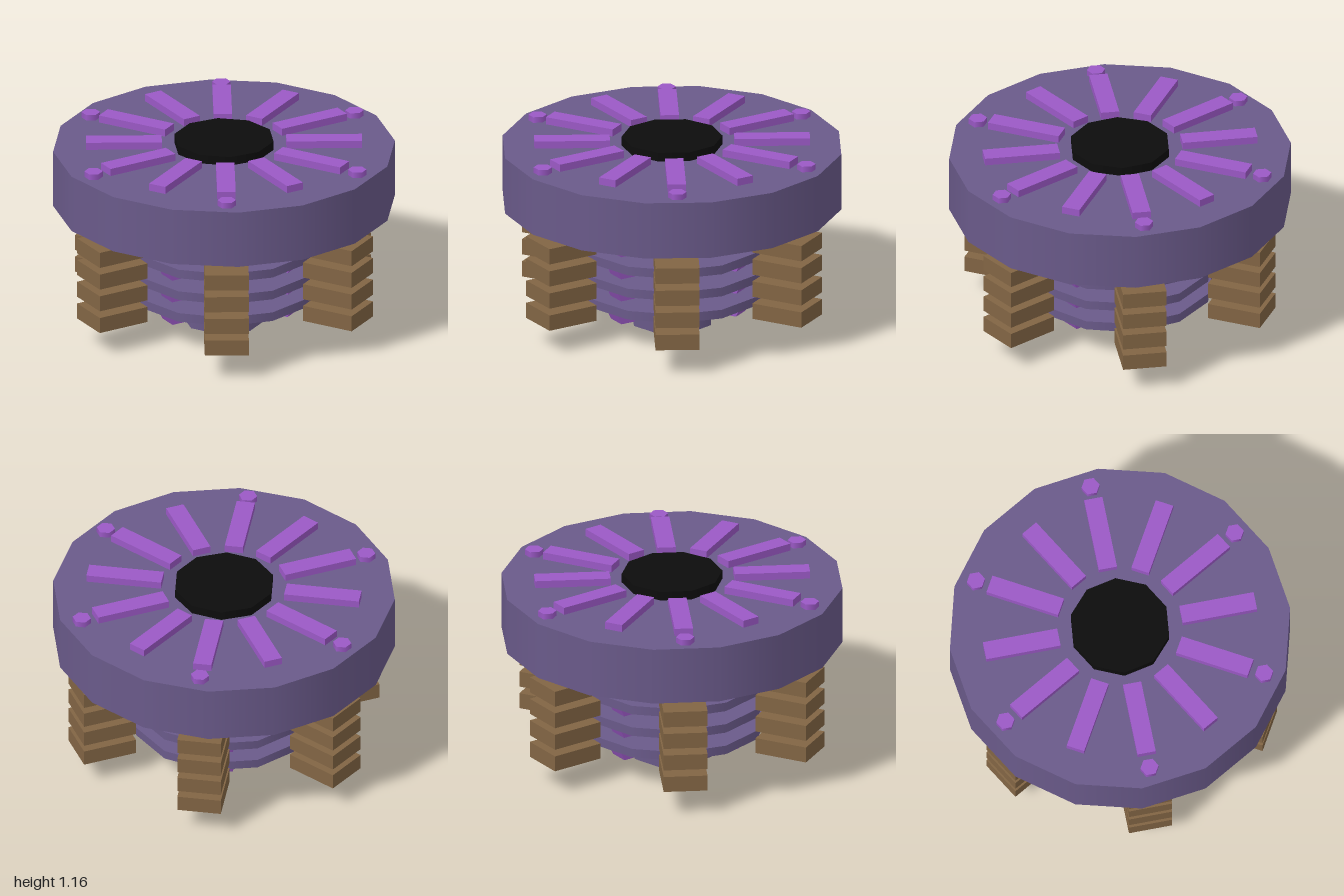
import * as THREE from 'three';

export function createModel() {
  const model = new THREE.Group();
  const material = (name, color) => {
    const m = new THREE.MeshStandardMaterial({ color });
    m.name = name;
    return m;
  };
  const slate = material('slate purple', 0x6a5a8a);
  const violet = material('bright violet', 0x9b59c6);
  const brown = material('brown', 0x826544);
  const black = material('black', 0x0d0d0d);

  const add = (parent, name, geometry, mat, x = 0, y = 0, z = 0) => {
    const mesh = new THREE.Mesh(geometry, mat);
    mesh.name = name;
    mesh.position.set(x, y, z);
    parent.add(mesh);
    return mesh;
  };
  // Upright prism between two heights
  const prism = (r, y0, y1, sides, turn = 0) =>
    new THREE.CylinderGeometry(r, r, y1 - y0, sides).rotateY(turn).translate(0, (y0 + y1) / 2, 0);
  // Ring of copies around the vertical axis
  const ring = (name, count, geometry, mat, x, y, z = 0) => {
    const group = new THREE.Group();
    group.name = name + 'Ring';
    for (let i = 0; i < count; i++) {
      const arm = new THREE.Group();
      arm.rotation.y = (i * 2 * Math.PI) / count;
      add(arm, name, geometry, mat, x, y, z);
      group.add(arm);
    }
    model.add(group);
  };

  // Upper drum, its black hub and the details on its lid
  add(model, 'drum', prism(1.0196, 0.76, 1.11, 16, Math.PI / 16), slate);
  add(model, 'hub', prism(0.3, 1.08, 1.165, 10), black);
  ring('spoke', 12, new THREE.BoxGeometry(0.45, 0.045, 0.11), violet, 0.595, 1.138);
  ring('bolt', 6, prism(0.055, 1.1, 1.145, 6), violet, 0.905, 0);

  // Bottom stub
  add(model, 'stub', prism(0.249, 0, 0.305, 8, Math.PI / 8), slate);

  // Wedge under each disc, tapering radially downwards
  const profile = new THREE.Shape([
    new THREE.Vector2(0.34, 0), new THREE.Vector2(0.43, 0),
    new THREE.Vector2(0.475, 0.1), new THREE.Vector2(0.3, 0.1),
  ]);
  const wedge = new THREE.ExtrudeGeometry(profile, { depth: 0.12, bevelEnabled: false });

  // Four stacked layers: disc, outer blocks and wedges
  const block = new THREE.BoxGeometry(0.33, 0.097, 0.262);
  const disc = prism(0.56, -0.0275, 0.0275, 12);
  for (let i = 0; i < 4; i++) {
    const y = 0.204 + i * 0.14;
    add(model, 'disc', disc, slate, 0, y + 0.008, 0);
    ring('block', 6, block, brown, 0.775, y);
    ring('wedge', 6, wedge, violet, 0, y - 0.11, -0.122);
  }
  return model;
}
